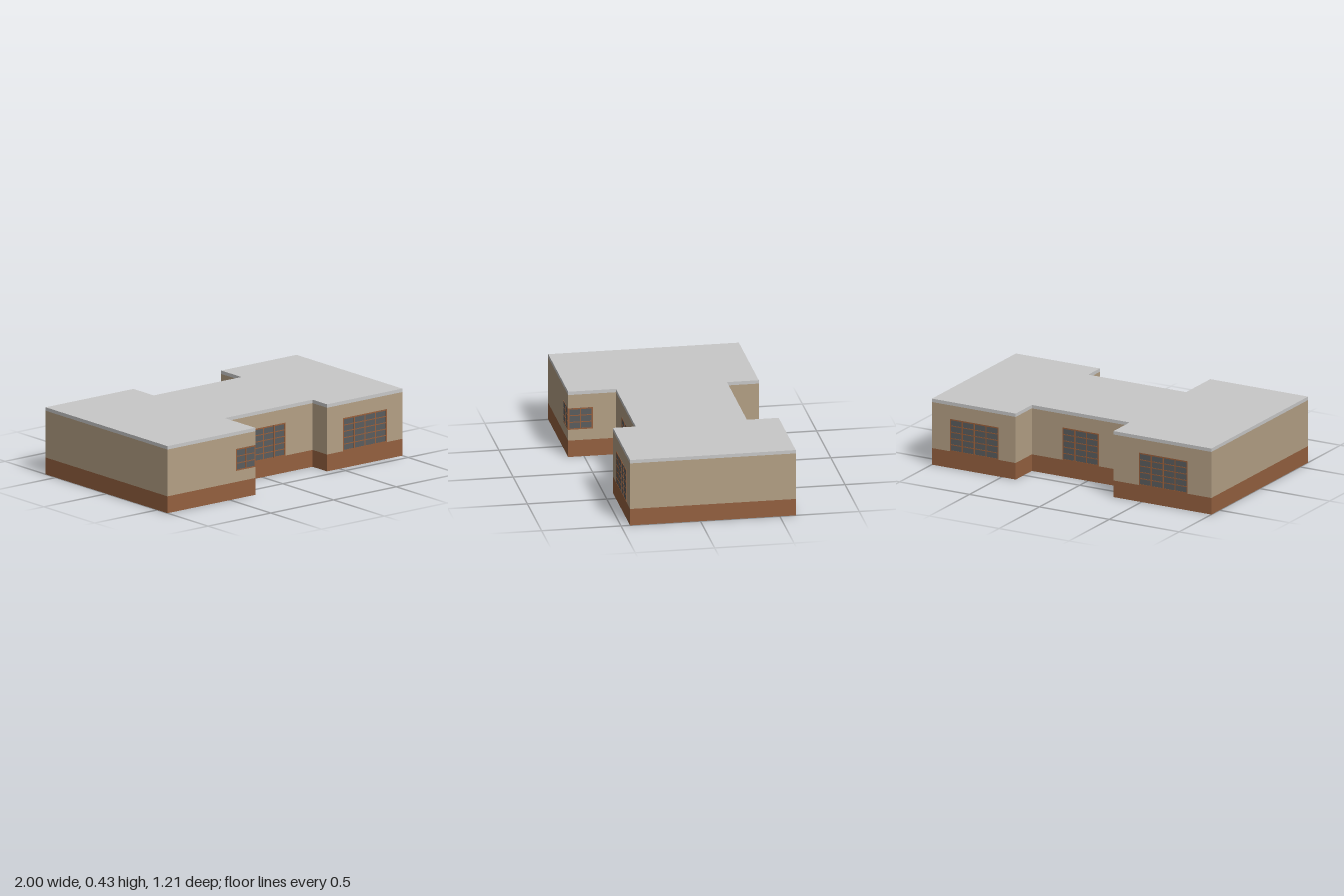
import * as THREE from 'three';

const mat = (name, color) => {
  const m = new THREE.MeshStandardMaterial({ color });
  m.name = name;
  return m;
};

export function createModel() {
  const model = new THREE.Group();
  model.name = 'house';
  const plinthMat = mat('brown plinth', 0x94603f);
  const wallMat = mat('beige wall', 0xb4a085);
  const roofMat = mat('light grey roof', 0xc8c8c8);
  const frameMat = mat('wooden frame', 0x98603c);
  const glassMat = mat('dark glass', 0x5a5c5e);

  // Footprint as [x, z] corners: two wings joined by a recessed middle
  const plan = [
    [-1, 0.6], [-0.3, 0.6], [-0.3, 0.3], [0.4, 0.3], [0.4, 0.443], [1, 0.443],
    [1, -0.6], [0.4, -0.6], [0.4, -0.4], [-0.3, -0.4], [-0.3, -0.6], [-1, -0.6],
  ];
  const footprint = new THREE.Shape(plan.map(([x, z]) => new THREE.Vector2(x, -z)));

  // Horizontal bands stacked from the ground to the roof
  const band = (name, y0, y1, material) => {
    const geo = new THREE.ExtrudeGeometry(footprint, { depth: y1 - y0, bevelEnabled: false });
    geo.rotateX(-Math.PI / 2);
    const mesh = new THREE.Mesh(geo, material);
    mesh.name = name;
    mesh.position.y = y0;
    model.add(mesh);
  };
  band('plinth', 0, 0.108, plinthMat);
  band('walls', 0.108, 0.408, wallMat);
  band('roof', 0.408, 0.43, roofMat);

  // Window facing local +z: glass plate with a grid of bars, origin on the wall surface
  const makeWindow = (name, w, h, cols, rows) => {
    const group = new THREE.Group();
    group.name = name;
    const plate = (part, pw, ph, x, y, depth, material) => {
      const mesh = new THREE.Mesh(new THREE.BoxGeometry(pw, ph, depth), material);
      mesh.name = part;
      mesh.position.set(x, y, depth / 2);
      group.add(mesh);
    };
    plate('glass', w, h, 0, 0, 0.0015, glassMat);
    const t = 0.008;
    for (let i = 0; i <= cols; i++) {
      plate('upright', t, h, -w / 2 + t / 2 + (i * (w - t)) / cols, 0, 0.003, frameMat);
    }
    for (let j = 0; j <= rows; j++) {
      const edge = j === 0 || j === rows;
      plate('crossbar', w, edge ? t : 0.006, 0, -h / 2 + t / 2 + (j * (h - t)) / rows, 0.0028, frameMat);
    }
    return group;
  };

  // name, width, height, columns, rows, x, y, z, turn about y
  const windows = [
    ['middleFrontWindow', 0.26, 0.212, 3, 5, 0.05, 0.214, 0.3, 0],
    ['leftWingFrontWindow', 0.348, 0.212, 4, 5, 0.7, 0.214, 0.443, 0],
    ['middleBackWindow', 0.26, 0.212, 3, 5, 0.05, 0.214, -0.4, Math.PI],
    ['leftWingBackWindow', 0.348, 0.212, 4, 5, 0.696, 0.214, -0.6, Math.PI],
    ['rightWingBackWindow', 0.348, 0.212, 4, 5, -0.656, 0.214, -0.6, Math.PI],
    // Corner window wrapping the inner front corner of the wide wing
    ['cornerWindowFront', 0.155, 0.14, 2, 3, -0.3775, 0.25, 0.6, 0],
    ['cornerWindowSide', 0.155, 0.14, 2, 3, -0.3, 0.25, 0.5225, Math.PI / 2],
  ];
  for (const [name, w, h, cols, rows, x, y, z, turn] of windows) {
    const win = makeWindow(name, w, h, cols, rows);
    win.position.set(x, y, z);
    win.rotation.y = turn;
    model.add(win);
  }
  return model;
}
